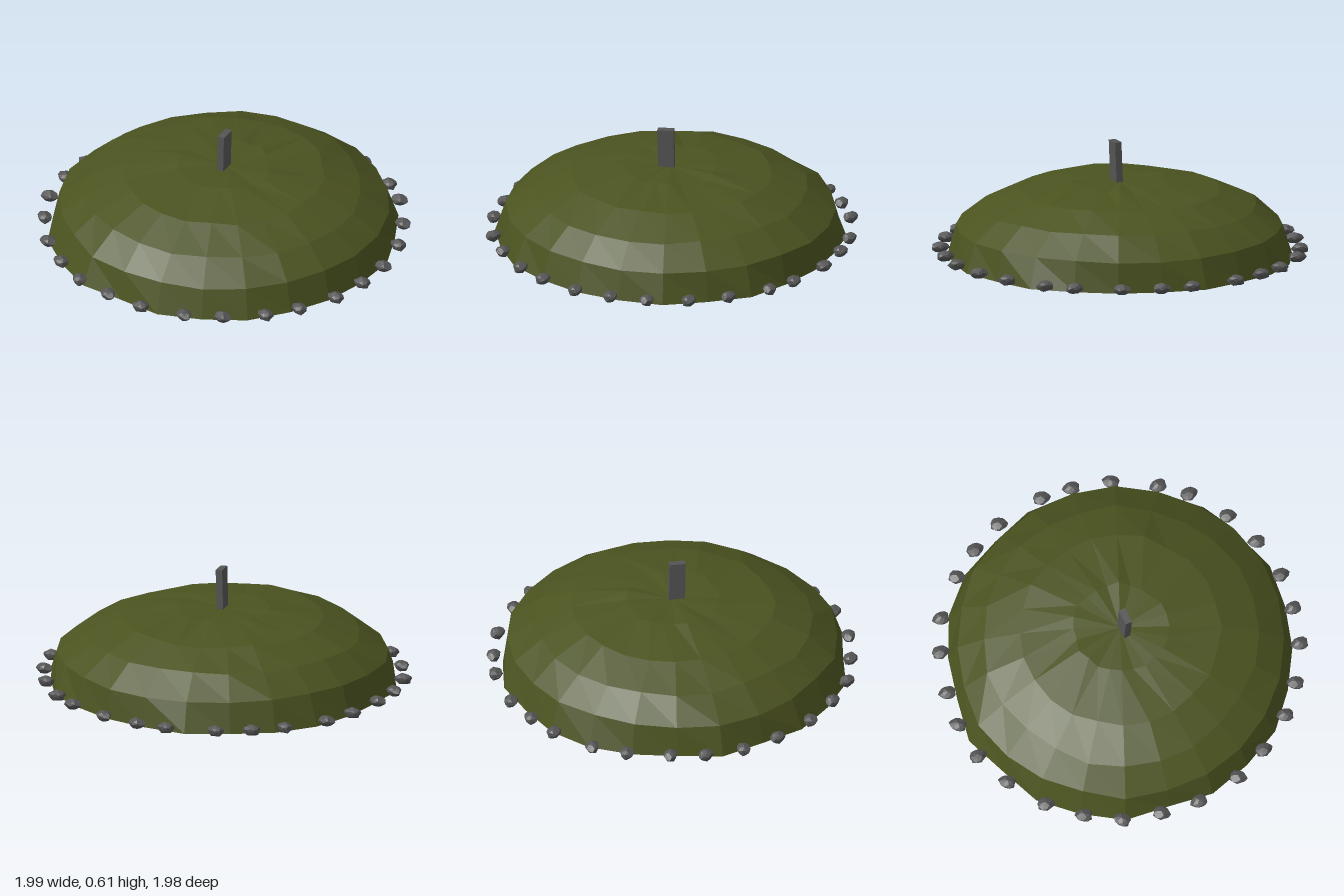
import * as THREE from 'three';

export function createModel() {
  const model = new THREE.Group();
  const green = new THREE.MeshStandardMaterial({ color: 0x4b5320, flatShading: true, side: THREE.DoubleSide });
  green.name = 'olive canvas';
  const grey = new THREE.MeshStandardMaterial({ color: 0x555555, flatShading: true });
  grey.name = 'stone grey';

  // Seeded random in -1..1
  let seed = 7;
  const rand = () => {
    seed = (seed * 16807) % 2147483647;
    return (seed / 2147483647) * 2 - 1;
  };

  // Canopy: open, hand-stretched dome; the hem radius varies around the edge
  const sides = 24;
  const hem = [0.94, 0.90, 0.93, 0.92, 0.93, 0.91, 0.91, 0.91, 0.93, 0.91, 0.93, 0.90,
    0.90, 0.90, 0.93, 0.91, 0.93, 0.93, 0.91, 0.90, 0.94, 0.91, 0.94, 0.93];
  const rings = [[0.91, 0], [0.87, 0.16], [0.73, 0.268], [0.53, 0.352], [0.25, 0.397], [0, 0.392]];
  const dome = new THREE.LatheGeometry(rings.map(([r, y]) => new THREE.Vector2(r, y)), sides);
  const pos = dome.attributes.position;
  const wobble = rings.map(() => hem.map(() => [rand() * 0.012, rand() * 0.007]));
  for (let i = 0; i <= sides; i++) {
    const a = (i / sides) * Math.PI * 2;
    rings.forEach(([r, y], j) => {
      const [dr, dy] = wobble[j][i % sides];
      const radius = j === 0 ? hem[i % sides] : r > 0 ? r + dr : 0;
      const height = j === 0 || r === 0 ? y : y + dy;
      pos.setXYZ(i * rings.length + j, Math.sin(a) * radius, height, Math.cos(a) * radius);
    });
  }
  dome.computeVertexNormals();
  const canopy = new THREE.Mesh(dome, green);
  canopy.name = 'canopy';
  model.add(canopy);

  // Pole poking out of the crown, turned and leaning a little
  const pole = new THREE.Mesh(new THREE.BoxGeometry(0.036, 0.23, 0.086), grey);
  pole.name = 'pole';
  pole.position.set(0.022, 0.492, 0.015);
  pole.rotation.set(0.02, 0.42, -0.04);
  model.add(pole);

  // Stones weighing down the hem, as x, z pairs
  const spots = [[-0.02, -0.95], [0.23, -0.92], [0.39, -0.87], [0.59, -0.74], [0.74, -0.59], [0.86, -0.40],
    [0.92, -0.21], [0.95, -0.01], [0.92, 0.21], [0.86, 0.39], [0.74, 0.58], [0.60, 0.73], [0.39, 0.86],
    [0.19, 0.92], [-0.02, 0.95], [-0.22, 0.92], [-0.42, 0.85], [-0.62, 0.72], [-0.77, 0.57], [-0.87, 0.39],
    [-0.92, 0.21], [-0.95, -0.02], [-0.94, -0.21], [-0.85, -0.44], [-0.75, -0.59], [-0.62, -0.73],
    [-0.39, -0.87], [-0.23, -0.92]];

  // One chipped rock shape; shared corners move together
  const rock = new THREE.IcosahedronGeometry(1, 1);
  const rp = rock.attributes.position;
  const v = new THREE.Vector3();
  for (let i = 0; i < rp.count; i++) {
    v.fromBufferAttribute(rp, i);
    const k = 1 + 0.13 * Math.sin(v.x * 5.1 + v.y * 7.3 + v.z * 3.7);
    rp.setXYZ(i, v.x * k * 0.046, v.y * k * 0.029, v.z * k * 0.036);
  }
  rock.computeVertexNormals();

  const stones = new THREE.Group();
  stones.name = 'stones';
  spots.forEach(([x, z]) => {
    const stone = new THREE.Mesh(rock, grey);
    stone.name = 'stone';
    stone.position.set(x, 0.033, z);
    stone.rotation.y = rand() * 0.5 + (rand() > 0 ? Math.PI : 0);
    stones.add(stone);
  });
  model.add(stones);
  return model;
}
